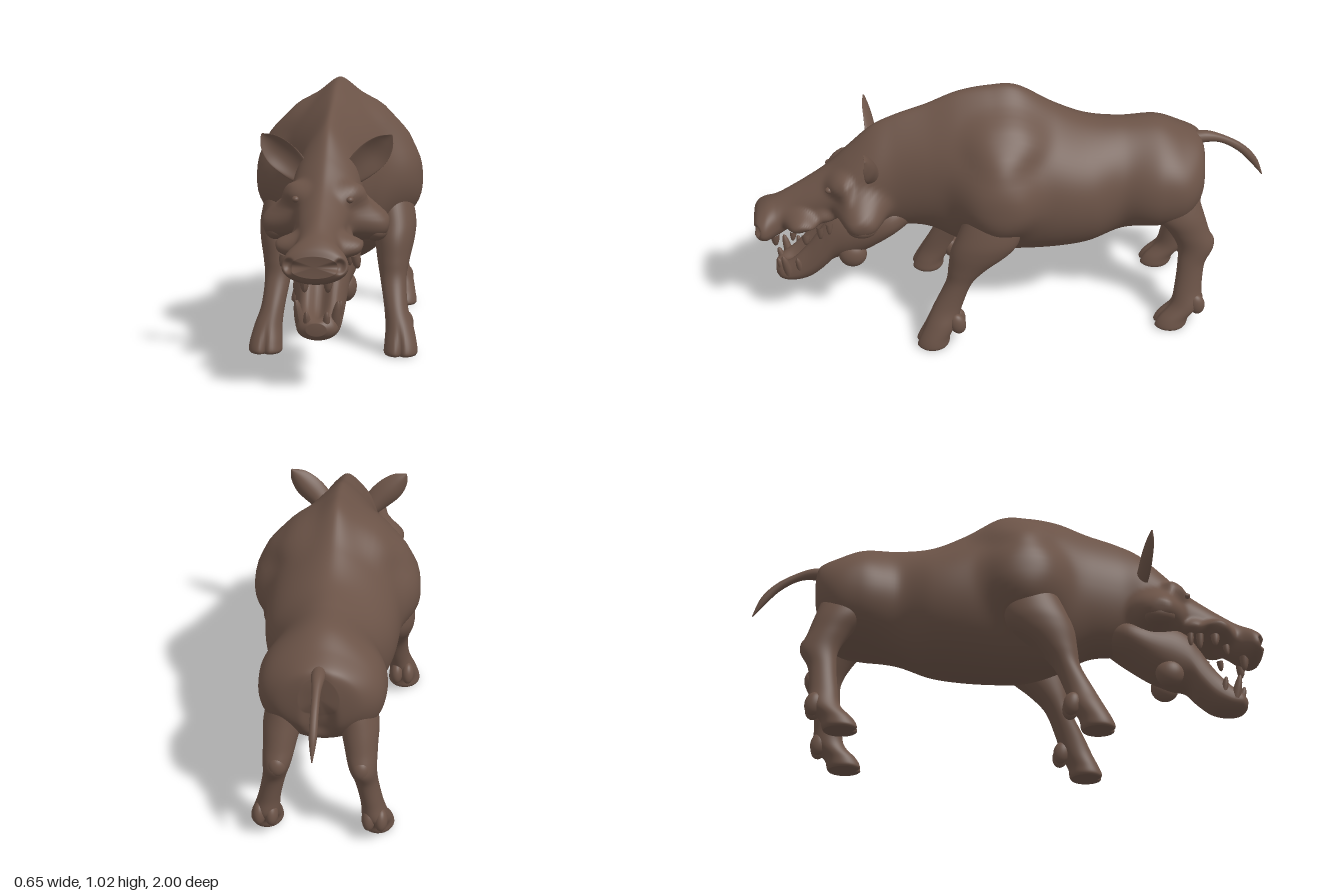
import * as THREE from 'three';

const hide = new THREE.MeshStandardMaterial({ color: 0x6b5347 });
hide.name = 'brown hide';

// Catmull-Rom between the rows of a section list
function smoothRows(rows, steps) {
  const out = [];
  const at = (i) => rows[Math.min(rows.length - 1, Math.max(0, i))];
  for (let i = 0; i < rows.length - 1; i++) {
    for (let k = 0; k < steps; k++) {
      const t = k / steps;
      out.push(rows[i].map((b, c) => {
        const a = at(i - 1)[c], d = at(i + 1)[c], e = at(i + 2)[c];
        return b + 0.5 * t * (d - a + t * (2 * a - 5 * b + 4 * d - e + t * (3 * (b - d) + e - a)));
      }));
    }
  }
  out.push(rows[rows.length - 1]);
  return out;
}

// Closed skin over rings; the ring function turns a row and an angle into a point
function loft(rows, ring, segs = 32, steps = 6) {
  const list = smoothRows(rows, steps), pos = [], index = [], n = list.length;
  for (const row of list) {
    for (let j = 0; j < segs; j++) pos.push(...ring(row, (j / segs) * Math.PI * 2));
  }
  for (let i = 0; i < n - 1; i++) {
    for (let j = 0; j < segs; j++) {
      const a = i * segs + j, b = i * segs + (j + 1) % segs;
      index.push(a, b, a + segs, b, b + segs, a + segs);
    }
  }
  // end caps
  for (const [start, flip] of [[0, true], [(n - 1) * segs, false]]) {
    const c = pos.length / 3, mid = [0, 0, 0];
    for (let j = 0; j < segs; j++) for (let k = 0; k < 3; k++) mid[k] += pos[(start + j) * 3 + k] / segs;
    pos.push(...mid);
    for (let j = 0; j < segs; j++) {
      const a = start + j, b = start + (j + 1) % segs;
      index.push(...(flip ? [c, b, a] : [c, a, b]));
    }
  }
  const g = new THREE.BufferGeometry();
  g.setAttribute('position', new THREE.Float32BufferAttribute(pos, 3));
  g.setIndex(index);
  // turn the faces outward when the enclosed volume is negative
  const p = [0, 1, 2].map(() => new THREE.Vector3());
  let volume = 0;
  for (let i = 0; i < index.length; i += 3) {
    p.forEach((v, k) => v.fromBufferAttribute(g.attributes.position, index[i + k]));
    volume += p[0].dot(p[1].cross(p[2]));
  }
  if (volume < 0) flipFaces(g);
  g.computeVertexNormals();
  return g;
}

function flipFaces(g) {
  const ix = g.index.array;
  for (let i = 0; i < ix.length; i += 3) [ix[i], ix[i + 1]] = [ix[i + 1], ix[i]];
}

// Muscles and hollows pushed out of the skin on both sides: centre, reach, shift
const bulges = [
  [[0.25, 0.65, 0.065], [0.2, 0.175, 0.15], [0.07, 0, 0]],           // shoulder
  [[0.15, 0.86, 0.03], [0.11, 0.1, 0.14], [0.034, 0.008, 0]],        // shoulder blade
  [[0.2, 0.58, -0.6], [0.2, 0.2, 0.15], [0.032, 0, 0]],              // thigh
  [[0, 0.58, -0.75], [0.05, 0.15, 0.06], [0, 0, 0.035]],             // cleft of the rump
  [[0.13, 0.56, 0.58], [0.09, 0.075, 0.09], [0.1, -0.03, 0]],        // cheek
  [[0.1, 0.66, 0.665], [0.06, 0.04, 0.055], [0.036, 0.012, 0]],      // brow
  [[0.08, 0.49, 0.815], [0.06, 0.045, 0.06], [0.078, 0, 0]],         // muzzle
  [[0.09, 0.5, 0.73], [0.05, 0.04, 0.05], [0.03, -0.01, 0]],         // lip
  [[0.088, 0.455, 0.985], [0.02, 0.022, 0.03], [-0.008, 0, -0.026]], // nostril
];
function bulge([x, y, z]) {
  const side = Math.sign(x), out = [x, y, z];
  for (const [c, r, shift] of bulges) {
    const d = ((Math.abs(x) - c[0]) / r[0]) ** 2 + ((y - c[1]) / r[1]) ** 2 + ((z - c[2]) / r[2]) ** 2;
    const w = Math.exp(-d * d);
    out[0] += side * w * shift[0];
    out[1] += w * shift[1];
    out[2] += w * shift[2];
  }
  return out;
}

// Row: z, bottom, widest height, top, half width, ridge sharpness
const upright = ([z, bottom, mid, top, w, k], a) => {
  const s = Math.sin(a);
  return [w * Math.cos(a) * (1 - k * Math.max(0, s) ** 3), mid + s * (s > 0 ? top - mid : mid - bottom), z];
};
// Row as above, but the last number hollows the top into a trough
const jawRing = ([z, bottom, mid, top, w, hollow], a) => {
  const [x, y] = upright([z, bottom, mid, top, w, 0], a);
  return [x, y - hollow * (top - mid) * Math.max(0, Math.sin(a)) ** 10, z];
};
// Row: x, y, z, half width, half depth, cleft at the front
const legRing = ([x, y, z, rx, rz, cleft], a) => {
  const f = 1 - cleft * Math.exp(-(((a - Math.PI / 2) / 0.2) ** 2));
  return [x + rx * Math.cos(a) * f, y, z + rz * Math.sin(a) * f];
};
// Row: x, y, z, half width, thickness; set across a slanted ear and cupped forward
const earRing = ([x, y, z, w, t], a) => {
  const c = Math.cos(a);
  return [x + 0.77 * w * c, y - 0.63 * w * c, z + t * Math.sin(a) + 0.5 * w * c * c];
};

function blob(at, radii, rot = [0, 0, 0]) {
  const m = new THREE.Matrix4().compose(new THREE.Vector3(...at),
    new THREE.Quaternion().setFromEuler(new THREE.Euler(...rot)), new THREE.Vector3(...radii));
  return new THREE.SphereGeometry(1, 32, 22).applyMatrix4(m);
}

// Blunt tooth from root to tip
function tooth(from, to, r) {
  const a = new THREE.Vector3(...from), d = new THREE.Vector3(...to).sub(a), h = d.length();
  const profile = [[1, 0], [0.95, 0.35], [0.72, 0.7], [0.42, 0.92], [0, 1]];
  const g = new THREE.LatheGeometry(profile.map(([x, y]) => new THREE.Vector2(x * r, y * h)), 14);
  g.applyQuaternion(new THREE.Quaternion().setFromUnitVectors(new THREE.Vector3(0, 1, 0), d.normalize()));
  return g.translate(a.x, a.y, a.z);
}

export function createModel() {
  const model = new THREE.Group();
  model.name = 'tuskedHog';
  const add = (name, g) => {
    const mesh = new THREE.Mesh(g, hide);
    mesh.name = name;
    model.add(mesh);
  };
  // a left part and its mirror image
  const pair = (name, g) => {
    add(name + 'Left', g);
    const m = g.clone().scale(-1, 1, 1);
    flipFaces(m);
    m.computeVertexNormals();
    add(name + 'Right', m);
  };

  // Trunk, neck, skull and snout in one skin
  add('body', loft([
    [-0.755, 0.56, 0.65, 0.74, 0.07, 0], [-0.735, 0.5, 0.63, 0.768, 0.145, 0], [-0.67, 0.42, 0.61, 0.80, 0.19, 0.1],
    [-0.57, 0.395, 0.60, 0.843, 0.203, 0.15], [-0.43, 0.37, 0.60, 0.845, 0.195, 0.2], [-0.3, 0.33, 0.59, 0.86, 0.242, 0.3],
    [-0.17, 0.312, 0.60, 0.925, 0.258, 0.45], [-0.03, 0.305, 0.62, 1.015, 0.255, 0.6], [0.08, 0.312, 0.63, 1.02, 0.25, 0.6],
    [0.2, 0.35, 0.64, 1.0, 0.212, 0.6], [0.32, 0.41, 0.65, 0.95, 0.162, 0.55], [0.44, 0.42, 0.64, 0.908, 0.13, 0.5],
    [0.53, 0.42, 0.62, 0.862, 0.13, 0.45], [0.62, 0.46, 0.59, 0.778, 0.13, 0.4], [0.7, 0.475, 0.57, 0.70, 0.10, 0.35],
    [0.78, 0.46, 0.54, 0.642, 0.085, 0.3], [0.86, 0.425, 0.50, 0.592, 0.075, 0.25], [0.91, 0.40, 0.465, 0.562, 0.088, 0.2],
    [0.955, 0.387, 0.45, 0.538, 0.114, 0.1], [0.985, 0.395, 0.45, 0.515, 0.108, 0], [1.0, 0.415, 0.452, 0.49, 0.085, 0],
  ], (row, a) => bulge(upright(row, a)), 80, 10));

  // Lower jaw, closed against the skull behind and hollow in front
  add('lowerJaw', loft([
    [0.38, 0.44, 0.50, 0.56, 0.07, 0], [0.46, 0.39, 0.47, 0.56, 0.122, 0], [0.56, 0.32, 0.43, 0.55, 0.122, 0],
    [0.64, 0.282, 0.41, 0.55, 0.112, 0.1], [0.7, 0.268, 0.38, 0.525, 0.1, 0.45], [0.745, 0.225, 0.32, 0.475, 0.092, 0.6],
    [0.8, 0.185, 0.26, 0.39, 0.084, 0.65], [0.86, 0.174, 0.225, 0.315, 0.078, 0.65], [0.91, 0.182, 0.22, 0.268, 0.066, 0.3],
    [0.932, 0.20, 0.222, 0.245, 0.035, 0],
  ], jawRing, 48));
  pair('jawKnob', blob([0.075, 0.318, 0.625], [0.04, 0.055, 0.055]));
  add('tongue', blob([0, 0.325, 0.74], [0.05, 0.022, 0.1], [0.65, 0, 0]));

  // Face
  pair('cheekLobe', blob([0.178, 0.516, 0.58], [0.045, 0.038, 0.06]));
  pair('eye', blob([0.096, 0.642, 0.70], [0.014, 0.012, 0.016]));
  pair('ear', loft([
    [0.08, 0.69, 0.52, 0.03, 0.024], [0.12, 0.738, 0.525, 0.05, 0.016], [0.17, 0.787, 0.53, 0.054, 0.009],
    [0.21, 0.83, 0.543, 0.036, 0.006], [0.236, 0.858, 0.555, 0.003, 0.003],
  ], earRing));

  // Teeth, upper ones pointing down and lower ones up
  for (const [from, to, r] of [
    [[0.042, 0.41, 0.925], [0.04, 0.352, 0.925], 0.018], [[0.075, 0.44, 0.85], [0.08, 0.4, 0.855], 0.013],
    [[0.125, 0.46, 0.80], [0.133, 0.415, 0.80], 0.017], [[0.1, 0.475, 0.745], [0.1, 0.415, 0.745], 0.015],
    [[0.092, 0.48, 0.71], [0.094, 0.43, 0.71], 0.013], [[0.032, 0.225, 0.905], [0.036, 0.285, 0.922], 0.015],
    [[0.058, 0.225, 0.88], [0.074, 0.32, 0.9], 0.018], [[0.066, 0.25, 0.835], [0.078, 0.31, 0.845], 0.014],
  ]) pair('tooth', tooth(from, to, r));

  // Front legs with cloven feet
  pair('frontLeg', loft([
    [0.257, 0, 0.325, 0.058, 0.06, 0.3], [0.257, 0.012, 0.325, 0.064, 0.066, 0.3], [0.256, 0.045, 0.316, 0.061, 0.062, 0.22],
    [0.25, 0.1, 0.288, 0.053, 0.062, 0.05], [0.235, 0.17, 0.26, 0.045, 0.056, 0], [0.222, 0.27, 0.215, 0.05, 0.052, 0],
    [0.22, 0.34, 0.178, 0.062, 0.078, 0], [0.222, 0.42, 0.125, 0.077, 0.12, 0], [0.222, 0.49, 0.095, 0.079, 0.122, 0],
    [0.2, 0.6, 0.07, 0.075, 0.1, 0], [0.18, 0.7, 0.05, 0.05, 0.07, 0],
  ], legRing, 48));

  // Hind legs with cloven feet
  pair('hindLeg', loft([
    [0.21, 0, -0.628, 0.056, 0.062, 0.3], [0.21, 0.012, -0.628, 0.062, 0.068, 0.3], [0.208, 0.045, -0.642, 0.058, 0.064, 0.22],
    [0.203, 0.1, -0.69, 0.05, 0.062, 0.05], [0.19, 0.17, -0.697, 0.042, 0.054, 0], [0.17, 0.27, -0.707, 0.043, 0.054, 0],
    [0.157, 0.345, -0.722, 0.052, 0.072, 0], [0.148, 0.42, -0.69, 0.062, 0.08, 0], [0.138, 0.5, -0.645, 0.072, 0.1, 0],
    [0.12, 0.6, -0.61, 0.06, 0.1, 0], [0.1, 0.7, -0.59, 0.03, 0.05, 0],
  ], legRing, 48));
  pair('hock', blob([0.153, 0.355, -0.762], [0.036, 0.045, 0.034]));

  // Dewclaws behind each foot
  for (const [name, x, z] of [['front', 0.252, 0.226], ['hind', 0.204, -0.73]]) {
    for (const side of [-1, 1]) {
      pair(name + 'Dewclaw', blob([x + side * 0.023, 0.1, z], [0.025, 0.046, 0.032], [0.2, 0, 0]));
    }
  }

  // Tail, drooping to a thin tip
  add('tail', loft([
    [0, 0.74, -0.69, 0.03, 0.03], [0, 0.75, -0.76, 0.025, 0.026], [0, 0.735, -0.83, 0.016, 0.018],
    [0, 0.69, -0.905, 0.015, 0.018], [0, 0.63, -0.96, 0.014, 0.016], [0, 0.56, -1.0, 0.002, 0.002],
  ], ([x, y, z, rx, r], a) => {
    const tilt = THREE.MathUtils.clamp((-z - 0.7) / 0.3, 0, 1);
    return [x + rx * Math.cos(a), y + r * Math.sin(a) * (1 - 0.4 * tilt), z - r * Math.sin(a) * tilt * 0.8];
  }, 16));

  return model;
}
